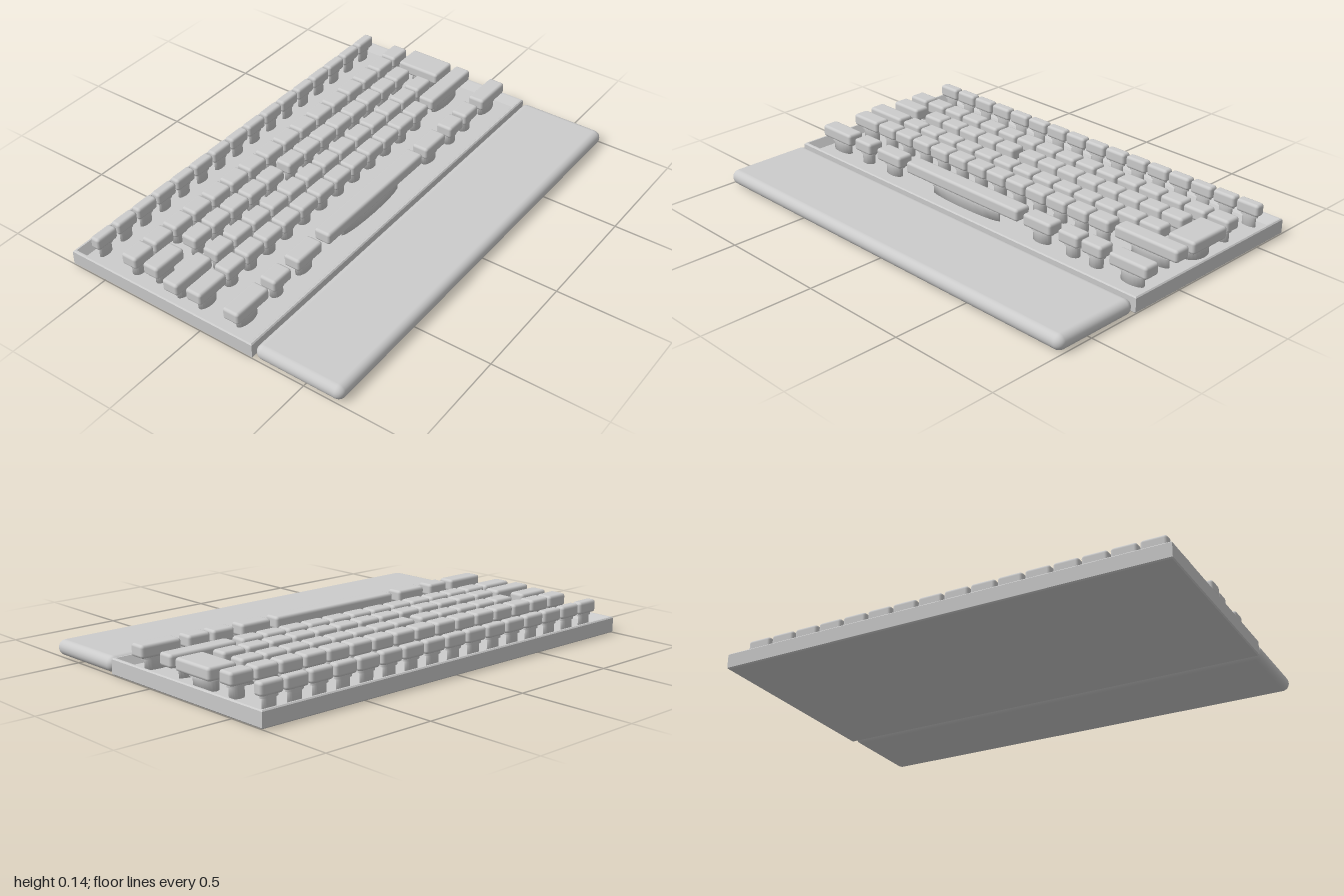
import * as THREE from 'three';
import { RoundedBoxGeometry } from 'three/addons/geometries/RoundedBoxGeometry.js';

const material = new THREE.MeshStandardMaterial({ color: 0xcccccc });
const FLOOR = 0.035, CAP_BOTTOM = 0.09, CAP_TOP = 0.145;

function addMesh(parent, name, geometry, x = 0, y = 0, z = 0) {
  const mesh = new THREE.Mesh(geometry, material);
  mesh.name = name;
  mesh.position.set(x, y, z);
  parent.add(mesh);
  return mesh;
}

// Tray made from rectangular rings, each [inset, height], closed at both ends
function trayGeometry(x0, x1, z0, z1, rings) {
  const loops = rings.map(([i, y]) => [
    [x0 + i, y, z1 - i], [x1 - i, y, z1 - i], [x1 - i, y, z0 + i], [x0 + i, y, z0 + i],
  ]);
  const pos = [];
  const quad = (a, b, c, d) => pos.push(...a, ...b, ...c, ...a, ...c, ...d);
  for (let r = 0; r < loops.length - 1; r++) {
    for (let k = 0; k < 4; k++) {
      const n = (k + 1) % 4;
      quad(loops[r][k], loops[r][n], loops[r + 1][n], loops[r + 1][k]);
    }
  }
  const first = loops[0], last = loops[loops.length - 1];
  quad(first[3], first[2], first[1], first[0]);
  quad(last[0], last[1], last[2], last[3]);
  const geometry = new THREE.BufferGeometry();
  geometry.setAttribute('position', new THREE.Float32BufferAttribute(pos, 3));
  geometry.computeVertexNormals();
  return geometry;
}

// Key: rounded cap on a two-step stem that stretches with the cap
const stemProfile = [
  [0, FLOOR - 0.005], [0.3, FLOOR - 0.005], [0.3, 0.08], [0.3, 0.08],
  [0.385, 0.08], [0.385, 0.08], [0.385, 0.093], [0.385, 0.093], [0, 0.093],
].map(([r, y]) => new THREE.Vector2(r, y));
const stemGeometry = new THREE.LatheGeometry(stemProfile, 20);

function addKey(parent, name, x0, x1, z0, z1) {
  const key = new THREE.Group();
  key.name = name;
  key.position.set((x0 + x1) / 2, 0, (z0 + z1) / 2);
  const w = x1 - x0, d = z1 - z0, h = CAP_TOP - CAP_BOTTOM;
  addMesh(key, 'keyCap', new RoundedBoxGeometry(w, h, d, 2, 0.013), 0, CAP_BOTTOM + h / 2, 0);
  addMesh(key, 'keyStem', stemGeometry).scale.set(w, 1, d);
  parent.add(key);
}

function addRun(parent, name, count, start, pitch, z0, z1) {
  for (let i = 0; i < count; i++) {
    const x = start + i * pitch;
    addKey(parent, name, x, x + 0.11, z0, z1);
  }
}

export function createModel() {
  const model = new THREE.Group();
  model.name = 'keyboard';

  // Case with a thin rim and sloping inner walls
  addMesh(model, 'case', trayGeometry(-1, 1, -0.67, 0.257, [
    [0.005, 0], [0, 0.005], [0, 0.065], [0.005, 0.07], [0.012, 0.07], [0.037, FLOOR],
  ]));

  // Palm rest along the front
  addMesh(model, 'palmRest', new RoundedBoxGeometry(2, 0.067, 0.406, 6, 0.033), 0, 0.0335, 0.467);

  const keys = new THREE.Group();
  keys.name = 'keys';
  model.add(keys);

  // Narrow top row and number row
  addRun(keys, 'topRowKey', 16, -0.957, 0.1198, -0.606, -0.559);
  addRun(keys, 'numberKey', 16, -0.957, 0.1198, -0.437, -0.36);

  // Upper letter row
  addKey(keys, 'tabKey', -0.952, -0.79, -0.328, -0.251);
  addRun(keys, 'upperKey', 5, -0.73, 0.1178, -0.323, -0.246);
  addRun(keys, 'upperKey', 8, -0.115, 0.116, -0.323, -0.246);

  // Middle letter row and tall enter key
  addKey(keys, 'capsKey', -0.98, -0.765, -0.202, -0.125);
  addRun(keys, 'middleKey', 13, -0.743, 0.119, -0.199, -0.122);
  addKey(keys, 'enterKey', 0.836, 0.97, -0.331, -0.12);

  // Lower letter row
  addKey(keys, 'leftShiftKey', -0.968, -0.807, -0.094, -0.017);
  addRun(keys, 'lowerKey', 12, -0.797, 0.1186, -0.094, -0.017);
  addKey(keys, 'rightShiftKey', 0.647, 0.968, -0.094, -0.017);

  // Bottom row with the space bar
  const bottomRow = [
    [-0.968, -0.775], [-0.743, -0.634], [-0.59, -0.433], [-0.39, 0.289],
    [0.32, 0.473], [0.513, 0.62], [0.636, 0.743], [0.78, 0.97],
  ];
  bottomRow.forEach(([a, b], i) => addKey(keys, i === 3 ? 'spaceBar' : 'modifierKey', a, b, 0.09, 0.168));

  return model;
}
